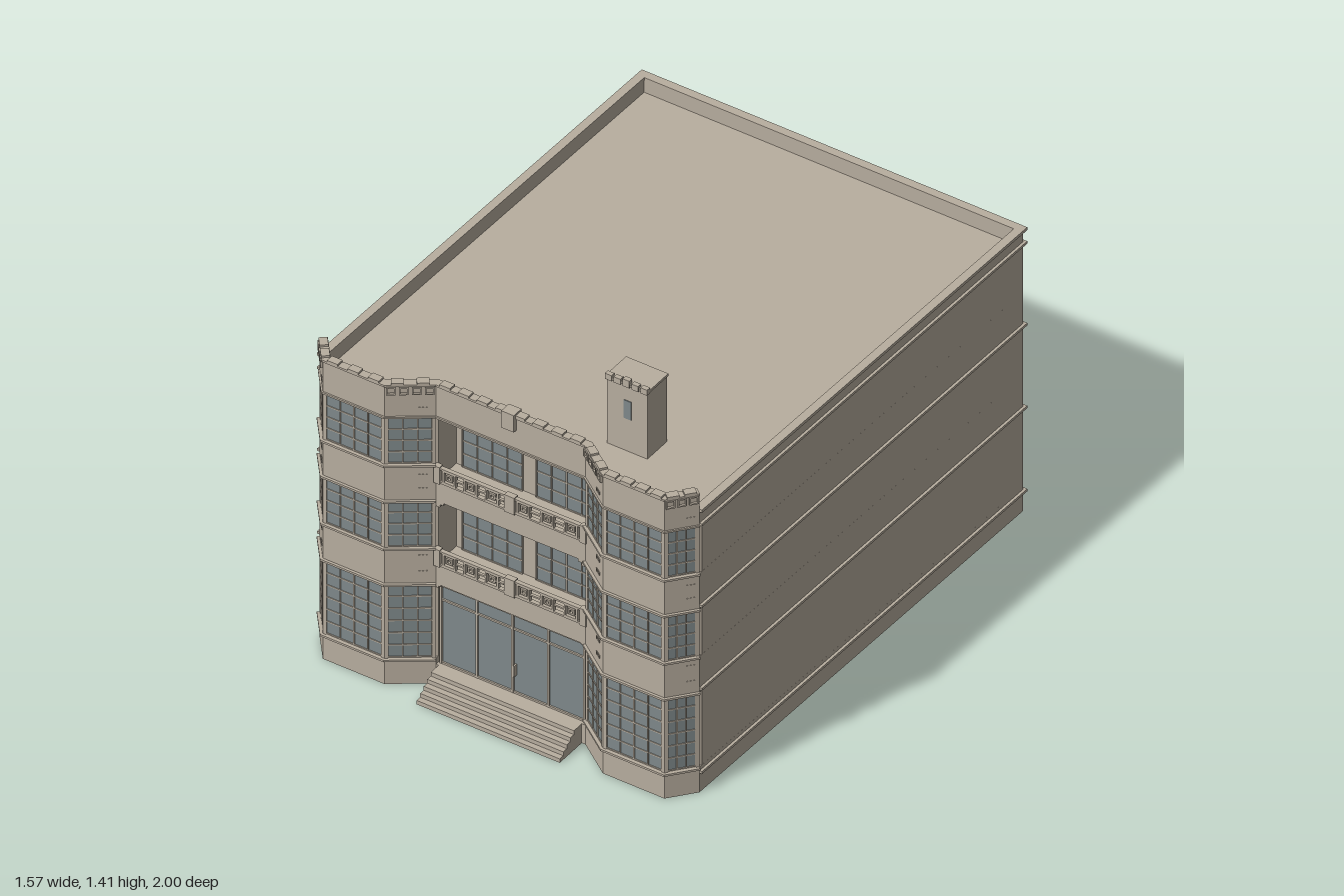
import * as THREE from 'three';

const wall = new THREE.MeshStandardMaterial({ color: 0xb8ae9f });
wall.name = 'stone';
const glass = new THREE.MeshStandardMaterial({ color: 0x7f898b });
glass.name = 'glass';
const unit = new THREE.BoxGeometry(1, 1, 1);

// Plan points [x, z], front listed left to right
const FRONT = [[-0.775, 0.875], [-0.7, 0.968], [-0.455, 0.968], [-0.315, 0.87],
  [0.28, 0.87], [0.415, 0.968], [0.66, 0.968], [0.737, 0.875]];
const BACK = [[0.77, -0.99], [-0.745, -0.99]];
const SIDES = [FRONT[7], ...BACK, FRONT[0]];
const BAYS = [FRONT.slice(0, 4), FRONT.slice(4)];

function box(parent, name, x0, x1, y0, y1, z0, z1, mat = wall) {
  const m = new THREE.Mesh(unit, mat);
  m.name = name;
  m.scale.set(x1 - x0, y1 - y0, z1 - z0);
  m.position.set((x0 + x1) / 2, (y0 + y1) / 2, (z0 + z1) / 2);
  parent.add(m);
  return m;
}

// Upright prism from plan points
function prism(parent, name, pts, y0, y1) {
  const shape = new THREE.Shape(pts.map(([x, z]) => new THREE.Vector2(x, -z)));
  const geo = new THREE.ExtrudeGeometry(shape, { depth: y1 - y0, bevelEnabled: false });
  geo.rotateX(-Math.PI / 2);
  const m = new THREE.Mesh(geo, wall);
  m.name = name;
  m.position.y = y0;
  parent.add(m);
}

// Mitred offset of an open plan line, positive is outward
function offset(pts, d) {
  const normal = (a, b) => new THREE.Vector2(a[1] - b[1], b[0] - a[0]).normalize();
  return pts.map((p, i) => {
    const n0 = i > 0 ? normal(pts[i - 1], p) : normal(p, pts[1]);
    const n1 = i < pts.length - 1 ? normal(p, pts[i + 1]) : n0;
    const k = d / (1 + n0.dot(n1));
    return [p[0] + (n0.x + n1.x) * k, p[1] + (n0.y + n1.y) * k];
  });
}

// Moulding or thin wall following a plan line
function strip(parent, name, pts, y0, y1, out, inn) {
  prism(parent, name, [...offset(pts, out), ...offset(pts, -inn).reverse()], y0, y1);
}

// Local frame on a wall: x runs along it, z points outward
function face(parent, name, a, b) {
  const g = new THREE.Group();
  g.name = name;
  g.position.set(a[0], 0, a[1]);
  g.rotation.y = Math.atan2(a[1] - b[1], b[0] - a[0]);
  g.userData.length = Math.hypot(b[0] - a[0], b[1] - a[1]);
  parent.add(g);
  return g;
}

// Glazed window with a grid of bars; z is the front of the bars
function gridWindow(parent, x0, x1, y0, y1, cols, rows, z) {
  box(parent, 'windowGlass', x0, x1, y0, y1, z - 0.01, z - 0.004, glass);
  const t = 0.0022;
  for (let i = 0; i <= cols; i++) {
    const x = x0 + (x1 - x0) * i / cols;
    box(parent, 'windowBar', x - t, x + t, y0, y1, z - 0.008, z);
  }
  for (let j = 0; j <= rows; j++) {
    const y = y0 + (y1 - y0) * j / rows;
    box(parent, 'windowCrossbar', x0, x1, y - t, y + t, z - 0.008, z - 0.001);
  }
}

// Hollow square made of four bars
function squareFrame(parent, name, x, y, r, t, z0, z1) {
  for (const s of [-1, 1]) {
    box(parent, name, x - r, x + r, y + s * (r - t / 2) - t / 2, y + s * (r - t / 2) + t / 2, z0, z1);
    box(parent, name, x + s * (r - t / 2) - t / 2, x + s * (r - t / 2) + t / 2, y - r + t, y + r - t, z0, z1);
  }
}

export function createModel() {
  const model = new THREE.Group();
  model.name = 'building';

  // Body in storeys: [bottom, top, window inset, depth of central recess]
  const layers = [[0, 0.08, 0, 0], [0.08, 0.105, 0, 0.025], [0.105, 0.415, 0.015, 0.025],
    [0.415, 0.495, 0, 0], [0.495, 0.565, 0, 0.12], [0.565, 0.76, 0.015, 0.12],
    [0.76, 0.84, 0, 0], [0.84, 0.91, 0, 0.12], [0.91, 1.105, 0.015, 0.12], [1.105, 1.115, 0, 0]];
  for (const [y0, y1, inset, recess] of layers) {
    const f = FRONT.map(([x, z]) => [x, z - inset]);
    if (recess) f.splice(4, 0, [-0.315, 0.87 - recess], [0.28, 0.87 - recess]);
    prism(model, 'body', [...f, ...BACK], y0, y1);
  }

  // Side and back bands, low roof parapet
  for (const y of [0.08, 0.426, 0.77, 1.11]) strip(model, 'sideBand', SIDES, y, y + 0.01, 0.01, 0.01);
  strip(model, 'roofParapet', SIDES, 1.115, 1.168, 0, 0.02);
  strip(model, 'parapetCap', SIDES, 1.166, 1.178, 0.01, 0.022);

  // Tall front parapet with cap
  strip(model, 'frontParapet', FRONT, 1.115, 1.24, 0, 0.025);
  strip(model, 'frontCap', FRONT, 1.237, 1.245, 0.004, 0.027);
  strip(model, 'frontMoulding', FRONT, 1.106, 1.113, 0.006, 0.01);
  box(model, 'keystone', -0.045, 0.005, 1.19, 1.26, 0.84, 0.886);
  FRONT.slice(1).forEach((b, i) => {
    const g = face(model, 'parapetFace', FRONT[i], b), L = g.userData.length;
    const n = Math.max(2, Math.round(L / 0.07));
    for (let k = 0; k < n; k++) {
      const c = L * (k + 0.5) / n;
      box(g, 'merlon', c - 0.021, c + 0.021, 1.243, 1.253, -0.025, 0.005);
    }
  });

  // Window bays
  const floors = [[0.11, 0.412, 6], [0.57, 0.757, 4], [0.917, 1.103, 4]];
  BAYS.forEach((pts) => {
    for (const y of [0.098, 0.411, 0.56, 0.757, 0.906]) strip(model, 'bayMoulding', pts, y, y + 0.008, 0.01, 0.015);
    pts.slice(1).forEach((b, i) => {
      const g = face(model, 'bayFace', pts[i], b), L = g.userData.length;
      const flat = i === 1, m = 0.012;
      for (const [y0, y1, rows] of floors) {
        gridWindow(g, m, L - m, y0, y1, flat ? 4 : 3, rows, -0.001);
        for (const x of [0, L - m]) box(g, 'bayPier', x, x + m, y0 - 0.006, y1 + 0.004, -0.02, 0);
      }
      if (flat) return;
      // Pierced ornament and small raised bricks on the angled faces
      const n = Math.max(3, Math.round(L / 0.042));
      for (let k = 0; k < n; k++) {
        squareFrame(g, 'parapetOrnament', L * (k + 0.5) / n, 1.222, 0.016, 0.005, -0.002, 0.008);
      }
      for (const y of [0.465, 0.53, 0.81, 0.865, 1.145]) {
        for (let k = -1; k <= 1; k++) {
          const x = L * 0.75 + k * 0.012;
          box(g, 'raisedBrick', x - 0.003, x + 0.003, y - 0.006, y + 0.006, -0.002, 0.003);
        }
      }
    });
  });

  // Recessed balconies with pairs of windows and key-pattern railings
  for (const y of [0.495, 0.84]) {
    for (const [x0, x1] of [[-0.285, -0.047], [0.01, 0.25]]) {
      gridWindow(model, x0, x1, y + 0.005, y + 0.22, 4, 4, 0.761);
    }
    const rail = new THREE.Group();
    rail.name = 'balconyRailing';
    model.add(rail);
    for (const r of [0.003, 0.059]) box(rail, 'rail', -0.318, 0.283, y + r, y + r + 0.007, 0.86, 0.876);
    for (const [x0, x1] of [[-0.32, -0.296], [-0.038, 0.002], [0.262, 0.286]]) {
      box(rail, 'railPost', x0, x1, y, y + 0.07, 0.857, 0.879);
    }
    for (const x of [-0.26, -0.175, -0.09, 0.035, 0.13, 0.225]) {
      squareFrame(rail, 'railKey', x, y + 0.035, 0.027, 0.007, 0.862, 0.876);
      squareFrame(rail, 'railKeyInner', x, y + 0.035, 0.012, 0.006, 0.864, 0.874);
    }
    for (let k = 0; k < 5; k++) {
      const x = [-0.2175, -0.1325, -0.063, 0.0825, 0.1775][k];
      box(rail, 'railLink', x - 0.02, x + 0.02, y + 0.032, y + 0.038, 0.864, 0.874);
    }
  }

  // Stepped corners at the heads of the lower balcony and the entrance
  for (const [y, s] of [[0.76, 1], [0.415, 0.6]]) {
    for (const [x, d] of [[-0.315, 1], [0.28, -1]]) {
      for (const [w, h] of [[0.03, 0.01], [0.015, 0.022]]) {
        const e = x + d * w * s;
        box(model, 'steppedCorner', Math.min(x, e), Math.max(x, e), y - h * s, y, 0.845, 0.87);
      }
    }
  }

  // Entrance: four glass doors, transom and handles
  box(model, 'doorGlass', -0.305, 0.265, 0.08, 0.405, 0.846, 0.851, glass);
  for (let i = 0; i <= 4; i++) {
    const x = -0.305 + 0.57 * i / 4;
    box(model, 'doorFrame', x - 0.004, x + 0.004, 0.08, 0.405, 0.845, 0.858);
  }
  for (const y of [0.08, 0.342, 0.4]) box(model, 'doorRail', -0.309, 0.269, y, y + 0.007, 0.845, 0.857);
  box(model, 'doorHandle', -0.012, -0.006, 0.155, 0.2, 0.85, 0.866);

  // Entrance steps
  for (let i = 0; i < 5; i++) {
    box(model, 'step', -0.305, 0.265, 0.016 * i, 0.016 * (i + 1), 0.86, 1 - 0.021 * i);
  }

  // Roof tower with battlements and a slim window
  box(model, 'tower', 0.237, 0.397, 1.11, 1.395, 0.563, 0.678);
  box(model, 'towerCap', 0.233, 0.401, 1.388, 1.398, 0.56, 0.682);
  for (let i = 0; i < 5; i++) {
    const x = 0.233 + 0.0355 * i, top = i === 2 ? 1.415 : 1.408;
    box(model, 'towerMerlon', x, x + 0.026, 1.385, top, 0.668, 0.686);
  }
  box(model, 'towerWindow', 0.305, 0.334, 1.25, 1.325, 0.674, 0.681, glass);
  return model;
}
